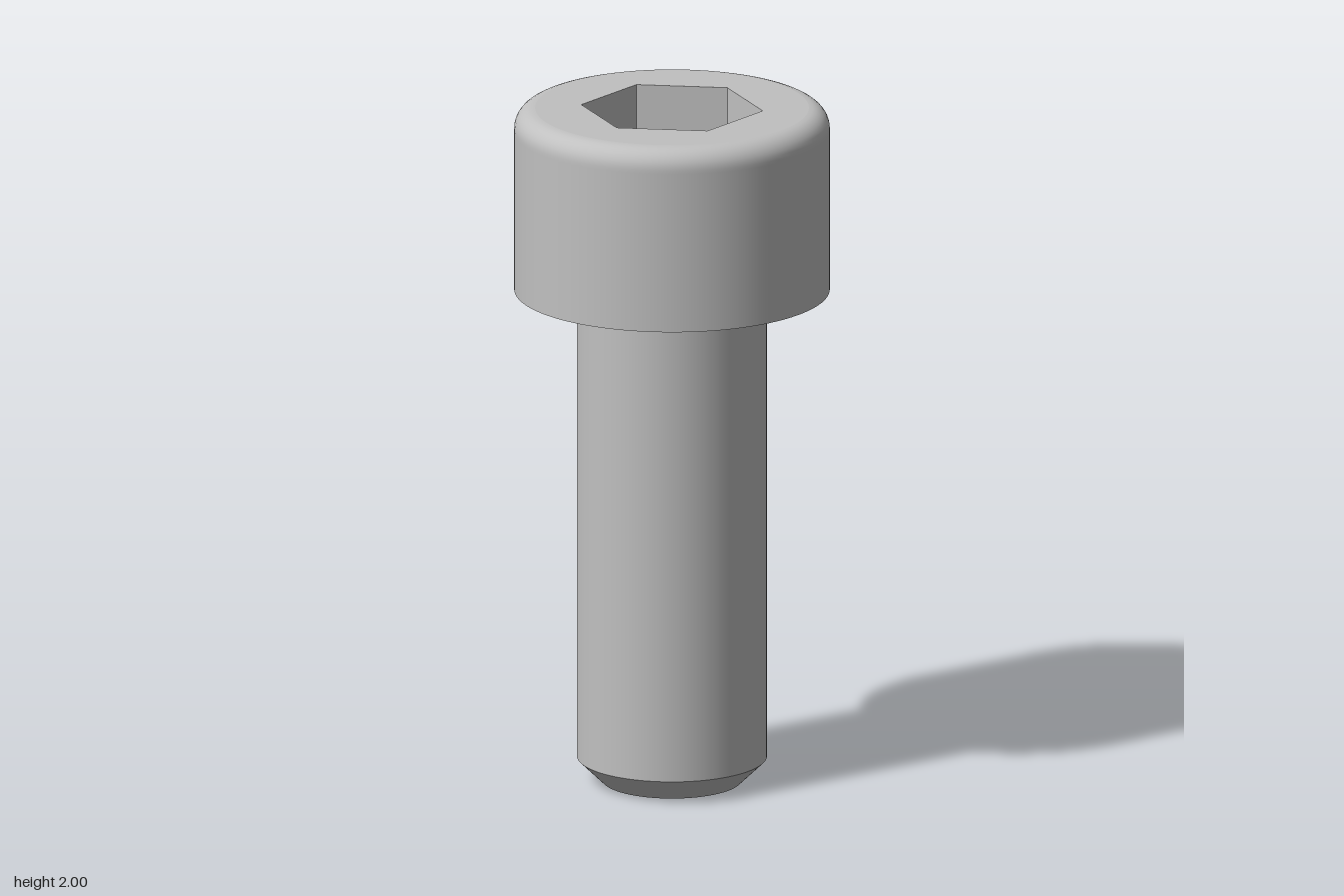
import * as THREE from 'three';

const SEGMENTS = 96;
const HEAD_R = 0.452, HEAD_BOTTOM = 1.46, HEAD_FILLET = 0.06;
const SHANK_R = 0.272, NECK_FILLET = 0.014;
const TIP_R = 0.2, CHAMFER_TOP = 0.07;
const HEX_R = 0.262, FLOOR_Y = 1.86, APEX_Y = 1.72;

// Quarter arc as profile points [radius, height]
function arc(cx, cy, r, from, to, steps = 8) {
  const points = [];
  for (let i = 0; i <= steps; i++) {
    const a = from + (to - from) * i / steps;
    points.push([cx + r * Math.cos(a), cy + r * Math.sin(a)]);
  }
  return points;
}

// Regular polygon points with one corner on the y axis of the shape
function ring(radius, sides) {
  return Array.from({ length: sides }, (_, i) => {
    const a = i * 2 * Math.PI / sides;
    return new THREE.Vector2(radius * Math.sin(a), radius * Math.cos(a));
  });
}

function turned(points, sides = SEGMENTS) {
  return new THREE.LatheGeometry(points.map(([r, y]) => new THREE.Vector2(r, y)), sides);
}

export function createModel() {
  const screw = new THREE.Group();
  screw.name = 'socketHeadScrew';
  const steel = new THREE.MeshStandardMaterial({ color: 0xc0c0c0 });
  steel.name = 'steel';

  const add = (name, geometry) => {
    const mesh = new THREE.Mesh(geometry, steel);
    mesh.name = name;
    screw.add(mesh);
  };

  // Shank, each profile piece separate so its edges stay sharp
  add('tipFace', turned([[0, 0], [TIP_R, 0]]));
  add('tipChamfer', turned([[TIP_R, 0], [SHANK_R, CHAMFER_TOP]]));
  add('shank', turned([
    [SHANK_R, CHAMFER_TOP],
    [SHANK_R, HEAD_BOTTOM - NECK_FILLET - 0.01],
    ...arc(SHANK_R + NECK_FILLET, HEAD_BOTTOM - NECK_FILLET, NECK_FILLET, Math.PI, Math.PI / 2, 5),
  ]));

  // Head
  add('headUnderside', turned([[SHANK_R + NECK_FILLET, HEAD_BOTTOM], [HEAD_R, HEAD_BOTTOM]]));
  add('headSide', turned([
    [HEAD_R, HEAD_BOTTOM],
    [HEAD_R, 2 - HEAD_FILLET - 0.01],
    ...arc(HEAD_R - HEAD_FILLET, 2 - HEAD_FILLET, HEAD_FILLET, 0, Math.PI / 2),
  ]));

  const topShape = new THREE.Shape(ring(HEAD_R - HEAD_FILLET, SEGMENTS));
  topShape.holes.push(new THREE.Path(ring(HEX_R, 6)));
  add('headTop', new THREE.ShapeGeometry(topShape).rotateX(-Math.PI / 2).translate(0, 2, 0));

  // Hexagonal socket: flat walls over a conical floor
  const walls = turned([[HEX_R, 2], [HEX_R, FLOOR_Y]], 6).toNonIndexed();
  walls.computeVertexNormals();
  add('socketWalls', walls);
  add('socketFloor', turned([[HEX_R, FLOOR_Y], [0, APEX_Y]], 6));

  return screw;
}
